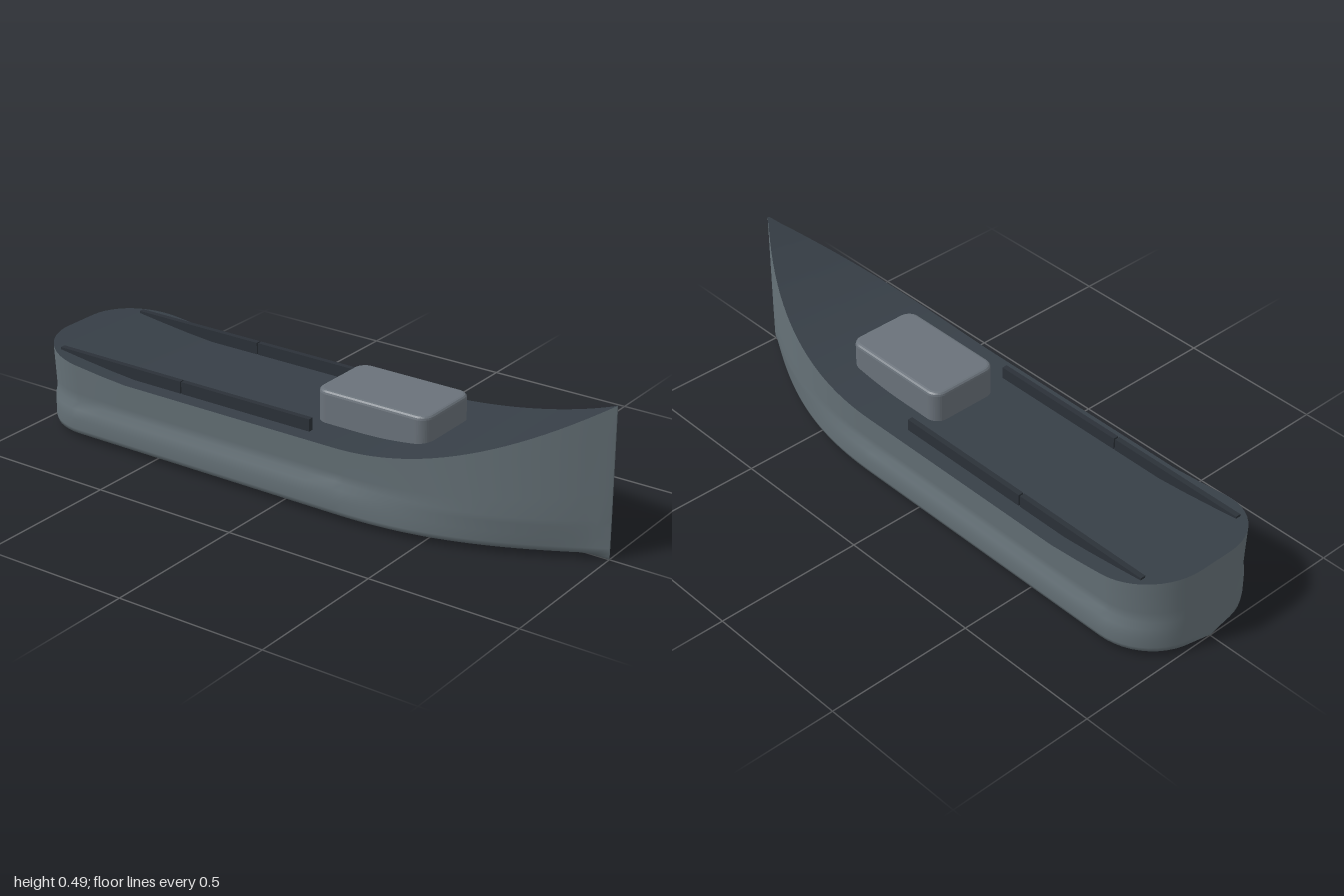
import * as THREE from 'three';

const HALF = 0.258;

// Deck height along the length: raised stern, flat waist, sweeping bow
function sheer(x) {
  if (x < -0.6) return 0.24 + 0.045 * Math.pow((-0.6 - x) / 0.4, 1.2);
  if (x > 0.2) return 0.24 + 0.245 * Math.pow((x - 0.2) / 0.8, 2);
  return 0.24;
}

// Half width in plan: rounded stern, parallel sides, pointed bow
function halfWidth(x) {
  if (x < -0.8) return 0.06 + 0.198 * Math.sqrt(Math.max(0, 1 - Math.pow((-0.8 - x) / 0.2, 2)));
  if (x > 0.2) return Math.max(0.003, HALF * (1 - Math.pow((x - 0.2) / 0.8, 2.4)));
  return HALF;
}

// Half cross-section from deck edge down to keel, as [z, y]
function section(x, w) {
  const top = sheer(x);
  const t = Math.max(0, (x - 0.2) / 0.8);
  const low = 1 - 0.22 * t * t;
  const points = [];
  for (let k = 0; k <= 4; k++) {
    const f = k / 4;
    points.push([w * (1 - 0.05 * f * (1 - t)), top + (0.125 - top) * f]);
  }
  points.push([w * (1 - 0.05 * t), 0.105], [w * (1 - 0.1 * t), 0.07],
    [w * low, 0.036], [w * low * 0.975, 0.02], [w * low * 0.5, 0.01], [0, 0]);
  return points;
}

// Skin a list of equally long rows of points
function loft(rows) {
  const n = rows[0].length;
  const index = [];
  for (let i = 0; i < rows.length - 1; i++) {
    for (let j = 0; j < n - 1; j++) {
      const a = i * n + j, b = a + n;
      index.push(a, a + 1, b, b, a + 1, b + 1);
    }
  }
  const geometry = new THREE.BufferGeometry();
  geometry.setAttribute('position', new THREE.Float32BufferAttribute(rows.flat(2), 3));
  geometry.setIndex(index);
  geometry.computeVertexNormals();
  return geometry;
}

// Box along x whose top and bottom follow given heights
function rail(x0, x1, z) {
  const geometry = new THREE.BoxGeometry(x1 - x0, 0.045, 0.018);
  geometry.translate((x0 + x1) / 2, 0.2575, z);
  return geometry;
}

export function createModel() {
  const hullPaint = new THREE.MeshStandardMaterial({ color: 0x667278 });
  hullPaint.name = 'hull grey';
  const deckPaint = new THREE.MeshStandardMaterial({ color: 0x373f47 });
  deckPaint.name = 'deck slate';
  const cabinPaint = new THREE.MeshStandardMaterial({ color: 0x6a727a });
  cabinPaint.name = 'cabin grey';
  const railPaint = new THREE.MeshStandardMaterial({ color: 0x2b3138 });
  railPaint.name = 'rail charcoal';

  const ship = new THREE.Group();
  ship.name = 'ship';
  const add = (name, geometry, material) => {
    const mesh = new THREE.Mesh(geometry, material);
    mesh.name = name;
    ship.add(mesh);
  };

  // Stations are denser around the rounded stern
  const stations = [];
  for (let i = 0; i < 12; i++) stations.push(-0.8 - 0.2 * Math.cos((i / 12) * Math.PI / 2));
  for (let i = 0; i <= 10; i++) stations.push(-0.8 + 0.1 * i);
  for (let i = 1; i <= 24; i++) stations.push(0.2 + (0.8 * i) / 24);

  // Hull, closed at the transom and stem by zero-width rows
  const hullRow = (x, w) => {
    const side = section(x, w);
    const left = side.map(([z, y]) => [x, y, z]);
    const right = side.slice(0, -1).reverse().map(([z, y]) => [x, y, -z]);
    return [...left, ...right];
  };
  add('hull', loft([
    hullRow(-1, 0),
    ...stations.map((x) => hullRow(x, halfWidth(x))),
    hullRow(1, 0),
  ]), hullPaint);

  // Deck follows the sheer
  add('deck', loft(stations.map((x) => {
    const w = halfWidth(x), y = sheer(x);
    return [[x, y, -w], [x, y, 0], [x, y, w]];
  })), deckPaint);

  // Cabin with rounded corners and a softened roof edge
  const bevel = 0.012, a = 0.202 - bevel, b = 0.125 - bevel, r = 0.03;
  const plan = new THREE.Shape();
  plan.absarc(a - r, b - r, r, 0, Math.PI / 2);
  plan.absarc(-a + r, b - r, r, Math.PI / 2, Math.PI);
  plan.absarc(-a + r, -b + r, r, Math.PI, Math.PI * 1.5);
  plan.absarc(a - r, -b + r, r, Math.PI * 1.5, Math.PI * 2);
  const cabin = new THREE.ExtrudeGeometry(plan, {
    depth: 0.121, bevelThickness: bevel, bevelSize: bevel, bevelSegments: 3, curveSegments: 6,
  });
  cabin.rotateX(-Math.PI / 2);
  cabin.translate(0.243, 0.212, 0);
  add('cabin', cabin, cabinPaint);

  // Two rail lengths on each side of the deck
  for (const [side, z] of [['left', -0.197], ['right', 0.197]]) {
    add(side + 'AftRail', rail(-0.905, -0.415, z), railPaint);
    add(side + 'ForeRail', rail(-0.41, 0.08, z), railPaint);
  }
  return ship;
}
